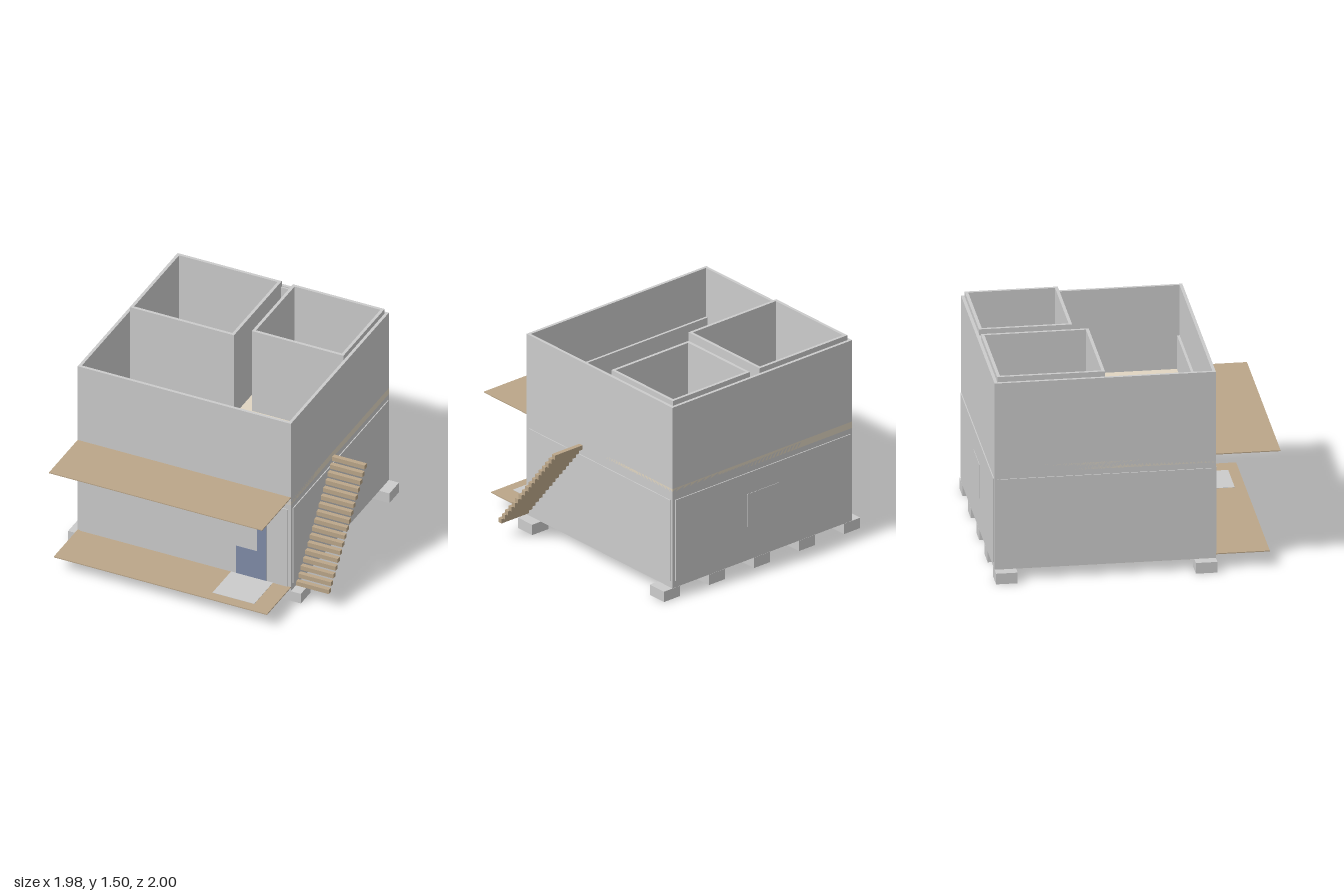
import * as THREE from 'three';

const mat = (color) => new THREE.MeshStandardMaterial({ color });
const grey = mat(0xcccccc), floorTan = mat(0xe0d5c1), baseTan = mat(0xc6bbab);
const deckTan = mat(0xbba689), doorBlue = mat(0x808ca8);

export function createModel() {
  const model = new THREE.Group();

  // Box given by its min and max on each axis
  function box(name, x0, x1, y0, y1, z0, z1, material = grey) {
    const mesh = new THREE.Mesh(new THREE.BoxGeometry(x1 - x0, y1 - y0, z1 - z0), material);
    mesh.position.set((x0 + x1) / 2, (y0 + y1) / 2, (z0 + z1) / 2);
    mesh.name = name;
    model.add(mesh);
  }

  // Hollow rectangle of walls, open at top and bottom
  function walls(name, x0, x1, y0, y1, z0, z1, t) {
    const rect = (S, a, b, c, d) => {
      const s = new S();
      s.moveTo(a, -d); s.lineTo(b, -d); s.lineTo(b, -c); s.lineTo(a, -c); s.closePath();
      return s;
    };
    const shape = rect(THREE.Shape, x0, x1, z0, z1);
    shape.holes.push(rect(THREE.Path, x0 + t, x1 - t, z0 + t, z1 - t));
    const geo = new THREE.ExtrudeGeometry(shape, { depth: y1 - y0, bevelEnabled: false });
    geo.rotateX(-Math.PI / 2);
    geo.translate(0, y0, 0);
    const mesh = new THREE.Mesh(geo, grey);
    mesh.name = name;
    model.add(mesh);
  }

  // Outer shell and floors; the upper slab ends flush with the walls
  walls('outerWalls', -0.92, 0.714, 0.08, 1.463, -0.99, 0.55, 0.022);
  box('groundFloor', -0.918, 0.712, 0.079, 0.11, -0.988, 0.548, baseTan);
  box('upperFloor', -0.92, 0.714, 0.79, 0.84, -0.99, 0.55, floorTan);

  // Upper rooms and inner linings
  walls('largeRoomWalls', -0.895, -0.097, 0.84, 1.5, -0.968, -0.218, 0.022);
  walls('smallRoomWalls', -0.01, 0.692, 0.84, 1.5, -0.968, -0.32, 0.022);
  box('frontLining', -0.898, 0.69, 0.84, 1.09, 0.51, 0.529);
  box('backLining', -0.097, -0.01, 0.84, 1.455, -0.97, -0.957);

  // Thin cladding panels round the lower storey
  box('frontPanel', -0.9, 0.69, 0.11, 0.75, 0.549, 0.557);
  box('backPanel', -0.9, 0.69, 0.13, 0.75, -0.997, -0.989);
  box('rightPanel', -0.927, -0.919, 0.13, 0.75, -0.97, 0.52);
  box('leftPanel', 0.713, 0.721, 0.13, 0.75, -0.97, 0.52);
  box('backWindow', -0.25, 0.04, 0.34, 0.59, -1, -0.996);

  // Door with a window opening at its side
  const door = new THREE.Shape([
    [0.30, 0.11], [0.53, 0.11], [0.53, 0.64], [0.30, 0.64],
    [0.30, 0.59], [0.46, 0.59], [0.46, 0.34], [0.30, 0.34],
  ].map(([x, y]) => new THREE.Vector2(x, y)));
  const doorMesh = new THREE.Mesh(
    new THREE.ExtrudeGeometry(door, { depth: 0.004, bevelEnabled: false }), doorBlue);
  doorMesh.position.z = 0.555;
  doorMesh.name = 'door';
  model.add(doorMesh);

  // Front decks and doorstep
  box('lowerDeck', -0.92, 0.714, 0.106, 0.113, 0.55, 0.925, deckTan);
  box('upperDeck', -0.92, 0.714, 0.847, 0.854, 0.55, 1, deckTan);
  box('doorstep', 0.26, 0.58, 0.09, 0.115, 0.55, 0.85);

  // Two rows of foundation blocks
  for (let i = 0; i < 5; i++) {
    const x = -0.92 + i * 0.4095;
    box('foundationBlock', x - 0.073, x + 0.073, 0, 0.079, 0.4, 0.55);
    box('foundationBlock', x - 0.073, x + 0.073, 0, 0.079, -0.99, -0.84);
  }

  // Side stair of floating treads
  for (let i = 0; i < 17; i++) {
    const y = 0.136 + i * 0.0434, z = 0.507 - i * 0.0352;
    box('stairTread', 0.742, 0.992, y - 0.0165, y + 0.0165, z - 0.0165, z + 0.0165, deckTan);
  }

  return model;
}
